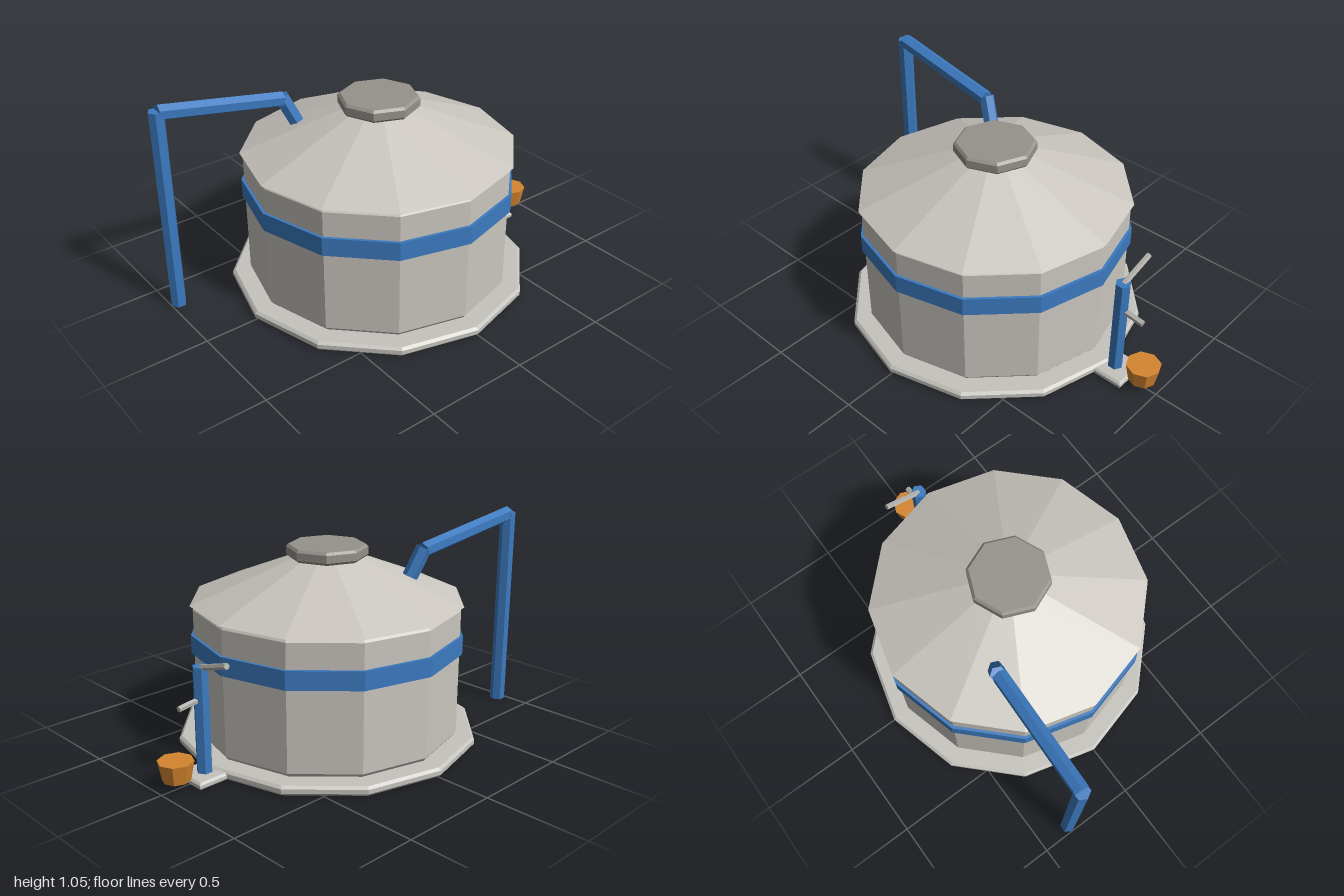
import * as THREE from 'three';

const paint = (name, color) => {
  const m = new THREE.MeshStandardMaterial({ color });
  m.name = name;
  return m;
};

export function createModel() {
  const model = new THREE.Group();
  model.name = 'waterTank';

  const concrete = paint('concrete', 0xc5c3bd);
  const plaster = paint('tank plaster', 0xc9c5be);
  const darkGrey = paint('hatch grey', 0x96928c);
  const blue = paint('pipe blue', 0x3c7ac0);
  const steel = paint('steel', 0xb0aea9);
  const orange = paint('bucket orange', 0xd4852f);

  // Adds a mesh with faceted normals
  const add = (name, geometry, material) => {
    const flat = geometry.index ? geometry.toNonIndexed() : geometry;
    flat.computeVertexNormals();
    const mesh = new THREE.Mesh(flat, material);
    mesh.name = name;
    model.add(mesh);
    return mesh;
  };

  // Faceted solid of revolution from [radius, y] pairs, bottom to top
  const turned = (name, profile, sides, material, z = 0.005) => {
    const points = profile.map(([r, y]) => new THREE.Vector2(r, y));
    add(name, new THREE.LatheGeometry(points, sides), material).position.z = z;
  };

  // Straight six-sided rod between two points
  const rod = (name, from, to, radius, material) => {
    const a = new THREE.Vector3(...from);
    const b = new THREE.Vector3(...to);
    const axis = b.clone().sub(a);
    const mesh = add(name, new THREE.CylinderGeometry(radius, radius, axis.length(), 6), material);
    mesh.position.copy(a).add(b).multiplyScalar(0.5);
    mesh.quaternion.setFromUnitVectors(new THREE.Vector3(0, 1, 0), axis.normalize());
  };

  // Foundation slab, wall, roof, band and hatch
  turned('foundationSlab', [[0, 0], [0.725, 0], [0.737, 0.013], [0.737, 0.034], [0.724, 0.046], [0, 0.046]], 12, concrete);
  turned('tankWall', [[0, 0.044], [0.632, 0.046], [0.646, 0.064], [0.646, 0.676], [0.632, 0.696], [0, 0.696]], 12, plaster);
  turned('roof', [[0, 0.695], [0.66, 0.695], [0.15, 0.9], [0, 0.9]], 12, plaster);
  turned('paintedBand', [[0.64, 0.464], [0.66, 0.464], [0.66, 0.554], [0.64, 0.554]], 12, blue);
  turned('roofHatch', [[0, 0.894], [0.183, 0.894], [0.195, 0.906], [0.195, 0.943], [0.183, 0.955], [0, 0.955]], 8, darkGrey);

  // Bevelled pad under the pump
  const outline = new THREE.Shape([[-0.08, 0.6], [0.08, 0.6], [0.08, 0.847], [-0.08, 0.847]]
    .map(([x, y]) => new THREE.Vector2(x, y)));
  const pad = new THREE.ExtrudeGeometry(outline, {
    depth: 0.016, bevelEnabled: true, bevelThickness: 0.01, bevelSize: 0.01, bevelSegments: 1,
  });
  pad.rotateX(-Math.PI / 2).translate(0, 0.01, 0);
  add('pumpPad', pad, concrete);

  // Inlet pipe: riser, sloping arm and drop into the roof
  rod('inletRiser', [-0.34, 0, 0.962], [-0.34, 1.02, 0.962], 0.038, blue);
  rod('inletArm', [-0.34, 1.012, 0.96], [-0.303, 0.918, 0.345], 0.038, blue);
  rod('inletDrop', [-0.308, 0.93, 0.345], [-0.278, 0.795, 0.285], 0.038, blue);

  // Hand pump
  rod('pumpPost', [0, 0.034, -0.763], [0, 0.54, -0.763], 0.037, blue);
  rod('pumpHandle', [0, 0.532, -0.763], [-0.187, 0.588, -0.763], 0.015, steel);
  rod('pumpSpout', [0, 0.388, -0.763], [0, 0.372, -0.887], 0.015, steel);

  // Bucket below the spout
  turned('bucket', [[0, 0.048], [0.065, 0.048], [0.083, 0.14], [0, 0.14]], 8, orange, -0.917);

  return model;
}
